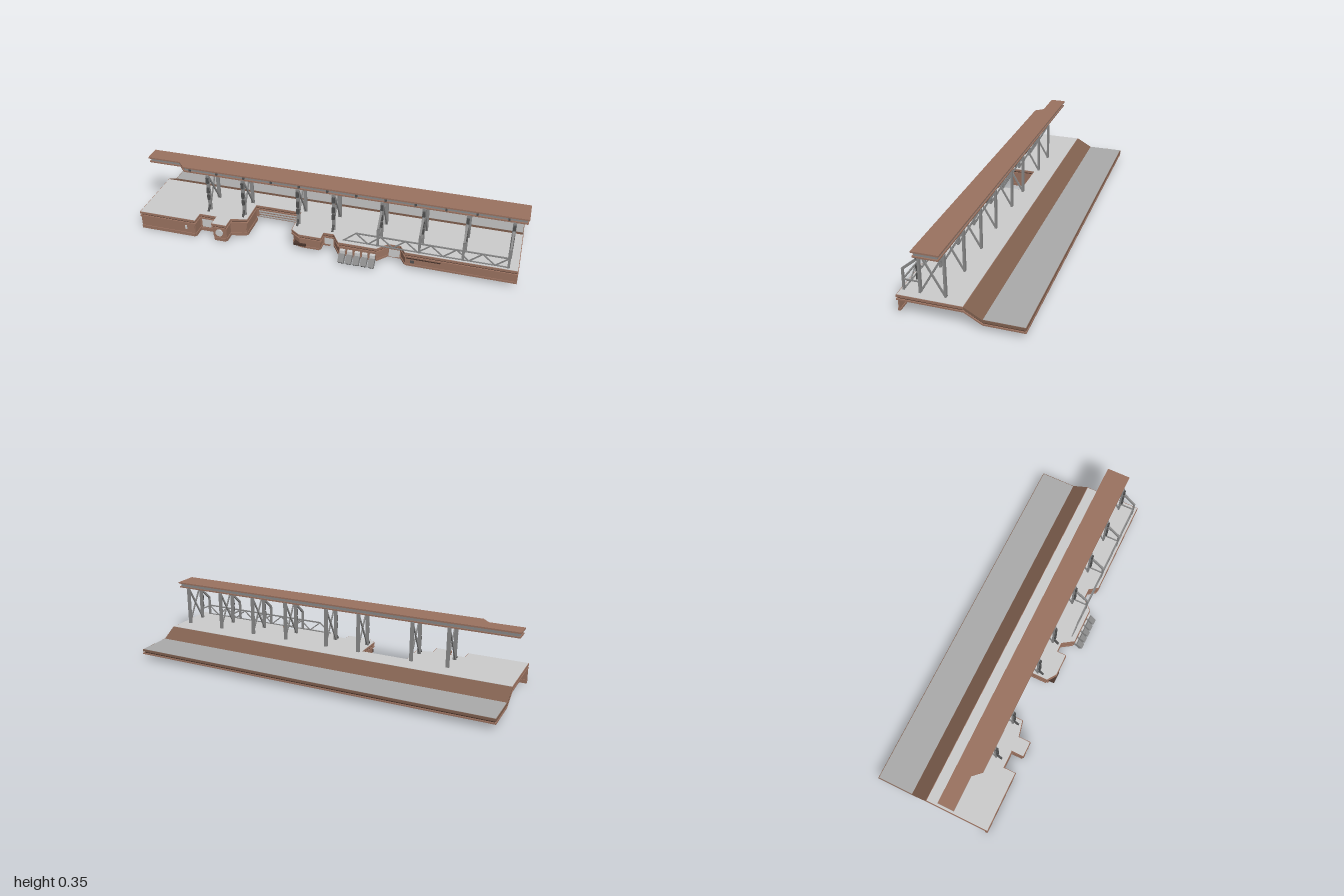
import * as THREE from 'three';

const mat = (color) => new THREE.MeshStandardMaterial({ color, flatShading: true, side: THREE.DoubleSide });
const V = (x, y, z) => new THREE.Vector3(x, y, z);

// Moves every edge of a counter-clockwise outline inwards by d
function inset(pts, d) {
  const n = pts.length;
  const dir = (a, b) => { const l = Math.hypot(b[0] - a[0], b[1] - a[1]); return [(b[0] - a[0]) / l, (b[1] - a[1]) / l]; };
  return pts.map((p, i) => {
    const e = dir(pts[(i + n - 1) % n], p), f = dir(p, pts[(i + 1) % n]);
    const nx = -e[1] - f[1], nz = e[0] + f[0], k = 1 + e[0] * f[0] + e[1] * f[1];
    return [p[0] + nx * d / k, p[1] + nz * d / k];
  });
}

const toShape = (pts) => new THREE.Shape(pts.map(([a, b]) => new THREE.Vector2(a, b)));

export function createModel() {
  const model = new THREE.Group();
  const brown = mat(0x9a7260), dark = mat(0x4a352c), slope = mat(0x80604f);
  const grey = mat(0xcccccc), mid = mat(0xaaaaaa), steel = mat(0x8a8a8a), black = mat(0x505050);

  const group = (name) => { const g = new THREE.Group(); g.name = name; model.add(g); return g; };
  const add = (parent, name, geo, material) => {
    const m = new THREE.Mesh(geo, material);
    m.name = name;
    parent.add(m);
    return m;
  };
  const box = (parent, name, x0, x1, y0, y1, z0, z1, material) => {
    const m = add(parent, name, new THREE.BoxGeometry(x1 - x0, y1 - y0, z1 - z0), material);
    m.position.set((x0 + x1) / 2, (y0 + y1) / 2, (z0 + z1) / 2);
    return m;
  };
  // Horizontal plate from an (x, z) outline
  const plate = (parent, name, pts, y0, y1, material) => {
    const geo = new THREE.ExtrudeGeometry(toShape(pts), { depth: y1 - y0, bevelEnabled: false });
    geo.rotateX(Math.PI / 2).translate(0, y1, 0);
    return add(parent, name, geo, material);
  };
  // Square bar between two points
  const beam = (parent, name, a, b, w, h, material) => {
    const m = add(parent, name, new THREE.BoxGeometry(w, h, a.distanceTo(b)), material);
    m.position.copy(a).add(b).multiplyScalar(0.5);
    m.lookAt(b);
    return m;
  };

  // Main deck: two lips around a dark recessed band, with a grey floor
  const leftEdge = [[-0.42, 0.075], [-0.42, 0.215], [-0.505, 0.235], [-0.505, 0.3], [-0.59, 0.3],
    [-0.59, 0.235], [-0.68, 0.235], [-0.68, 0.3], [-1, 0.3]];
  const rightEdge = [[0.985, 0.27], [0.43, 0.27], [0.4, 0.225], [0.34, 0.225], [0.29, 0.28], [0.09, 0.28],
    [0.05, 0.22], [0, 0.22], [0, 0.27], [-0.12, 0.27], [-0.17, 0.235], [-0.17, 0.075]];
  const outline = [[-1, -0.045], [0.985, -0.045], ...rightEdge, ...leftEdge];
  const deck = group('deck');
  plate(deck, 'deckUpperLip', outline, 0.1, 0.112, brown);
  plate(deck, 'deckRecess', inset(outline, 0.007), 0.092, 0.1, dark);
  plate(deck, 'deckLowerLip', outline, 0.085, 0.092, brown);
  plate(deck, 'deckFloor', inset(outline, 0.003), 0.112, 0.1135, grey);

  // Rear ramp and lower track bed, drawn as a (z, y) section and run along x
  const bed = group('rampAndLowerBed');
  const layer = (name, y0, y1, cut, material) => {
    const path = [[-0.045, 0], [-0.13, -0.048], [-0.325 + cut, -0.048]];
    const pts = [...path.map(([z, y]) => [-z, y + y1]), ...path.reverse().map(([z, y]) => [-z, y + y0])];
    const len = 1.985 - 2 * cut;
    const geo = new THREE.ExtrudeGeometry(toShape(pts), { depth: len, bevelEnabled: false });
    geo.rotateY(Math.PI / 2).translate(-1 + cut, 0, 0);
    add(bed, name, geo, material);
  };
  layer('bedUpperLip', 0.1, 0.113, 0, slope);
  layer('bedRecess', 0.092, 0.1, 0.007, dark);
  layer('bedLowerLip', 0.085, 0.092, 0, brown);
  box(bed, 'lowerFloor', -0.997, 0.982, 0.065, 0.0662, -0.322, -0.131, mid);

  // Thin skirt walls hanging under the front edge
  const skirt = group('skirt');
  const inner = inset(outline, 0.012);
  const wall = (pts, y0, y1, t, material, name) => {
    for (let i = 0; i < pts.length - 1; i++) {
      const a = V(pts[i][0], (y0 + y1) / 2, pts[i][1]), b = V(pts[i + 1][0], (y0 + y1) / 2, pts[i + 1][1]);
      beam(skirt, name, a, b, t, y1 - y0, material);
    }
  };
  const innerRight = inner.slice(2, 2 + rightEdge.length), innerLeft = inner.slice(2 + rightEdge.length);
  const innerBack = [innerRight[innerRight.length - 1], innerLeft[0]];
  innerRight[0][0] = 0.985;
  innerLeft[innerLeft.length - 1][0] = -1;
  wall(innerRight, 0.035, 0.086, 0.006, brown, 'rightSkirt');
  wall(innerRight, 0.032, 0.042, 0.014, brown, 'rightSkirtLip');
  wall(innerBack, 0.035, 0.086, 0.006, brown, 'notchSkirt');
  wall(innerLeft, 0.01, 0.086, 0.006, brown, 'leftSkirt');
  wall(innerLeft, 0.006, 0.024, 0.014, brown, 'leftSkirtLip');
  for (const y of [0.045, 0.06, 0.075]) box(skirt, 'notchRail', -0.41, -0.18, y - 0.003, y + 0.003, 0.062, 0.072, mid);

  // Equipment set into the front skirt
  const gear = group('frontEquipment');
  for (const [x0, x1, z] of [[-0.675, -0.595, 0.23], [0.003, 0.05, 0.215], [0.342, 0.398, 0.22]])
    box(gear, 'greyHatch', x0, x1, 0.032, 0.084, z - 0.008, z, grey);
  box(gear, 'equipmentBox', -0.585, -0.51, 0.03, 0.085, 0.24, 0.292, brown);
  const port = add(gear, 'roundPort', new THREE.CylinderGeometry(0.02, 0.02, 0.01, 16), grey);
  port.rotation.x = Math.PI / 2;
  port.position.set(-0.55, 0.058, 0.295);
  box(gear, 'smallLamp', -0.745, -0.735, 0.045, 0.068, 0.29, 0.295, grey);
  box(gear, 'darkVent', -0.15, -0.085, 0.043, 0.056, 0.235, 0.27, dark);
  box(gear, 'darkSlot', 0.44, 0.61, 0.075, 0.083, 0.255, 0.266, dark);
  box(gear, 'smallHatch', 0.46, 0.48, 0.05, 0.065, 0.258, 0.264, black);

  // Row of five tilted nozzles
  for (let i = 0; i < 5; i++) {
    const x = 0.115 + i * 0.039;
    const nozzle = new THREE.Group();
    nozzle.name = 'nozzle';
    gear.add(nozzle);
    box(nozzle, 'nozzleMount', x - 0.013, x + 0.013, 0.035, 0.073, 0.268, 0.288, grey);
    beam(nozzle, 'nozzleBarrel', V(x, 0.05, 0.283), V(x, 0.016, 0.314), 0.03, 0.026, steel);
    beam(nozzle, 'nozzleMouth', V(x, 0.018, 0.312), V(x, 0.0145, 0.3152), 0.022, 0.02, black);
  }

  // Roof: two plates with a grey core, narrower at one end
  const roofOutline = [[-1, 0.05], [1, 0.05], [1, 0.178], [-0.78, 0.178], [-0.82, 0.135], [-1, 0.135]];
  const roof = group('roof');
  plate(roof, 'roofTop', roofOutline, 0.347, 0.355, brown);
  plate(roof, 'roofCore', inset(roofOutline, 0.01), 0.33, 0.347, steel);
  plate(roof, 'roofUnderside', inset(roofOutline, 0.004), 0.323, 0.33, brown);
  for (let x = -0.75; x < 1; x += 0.15) box(roof, 'roofRib', x, x + 0.01, 0.329, 0.348, 0.165, 0.174, black);

  // Braced frames carrying the roof
  const frontZ = 0.174, backZ = 0.055;
  for (const x of [-0.645, -0.45, -0.15, 0.04, 0.29, 0.5, 0.715, 0.935]) {
    const frame = group('roofFrame');
    for (const z of [frontZ, backZ]) box(frame, 'post', x - 0.009, x + 0.009, 0.112, 0.325, z - 0.005, z + 0.005, steel);
    beam(frame, 'brace', V(x - 0.003, 0.115, frontZ), V(x - 0.003, 0.322, backZ), 0.006, 0.009, steel);
    beam(frame, 'brace', V(x + 0.003, 0.115, backZ), V(x + 0.003, 0.322, frontZ), 0.006, 0.009, steel);
    for (const [y0, y1] of [[0.28, 0.312], [0.22, 0.253], [0.18, 0.21]])
      box(frame, 'postLamp', x - 0.007, x + 0.007, y0, y1, 0.179, 0.188, black);
    // Outrigger in front of the frames beside the railing
    if (x > 0.2) {
      box(frame, 'outriggerPost', x - 0.006, x + 0.006, 0.112, 0.22, 0.249, 0.258, steel);
      beam(frame, 'outriggerArm', V(x, 0.217, 0.256), V(x, 0.287, 0.174), 0.01, 0.011, steel);
      beam(frame, 'outriggerTie', V(x, 0.166, 0.25), V(x, 0.166, 0.174), 0.006, 0.006, steel);
    } else {
      beam(frame, 'footStrut', V(x, 0.115, 0.203), V(x, 0.145, 0.18), 0.01, 0.008, black);
    }
  }

  // Zigzag railing along the front
  const railing = group('railing');
  const zr = 0.253, step = 0.063;
  box(railing, 'topRail', 0.175, 0.94, 0.165, 0.172, zr - 0.003, zr + 0.003, steel);
  box(railing, 'bottomRail', 0.11, 0.94, 0.113, 0.118, zr - 0.003, zr + 0.003, steel);
  for (let i = 0; i < 13; i++) {
    const x = 0.115 + i * step, up = i % 2 === 0;
    beam(railing, 'railDiagonal', V(x, up ? 0.115 : 0.168, zr), V(x + step, up ? 0.168 : 0.115, zr), 0.005, 0.006, steel);
  }
  return model;
}
